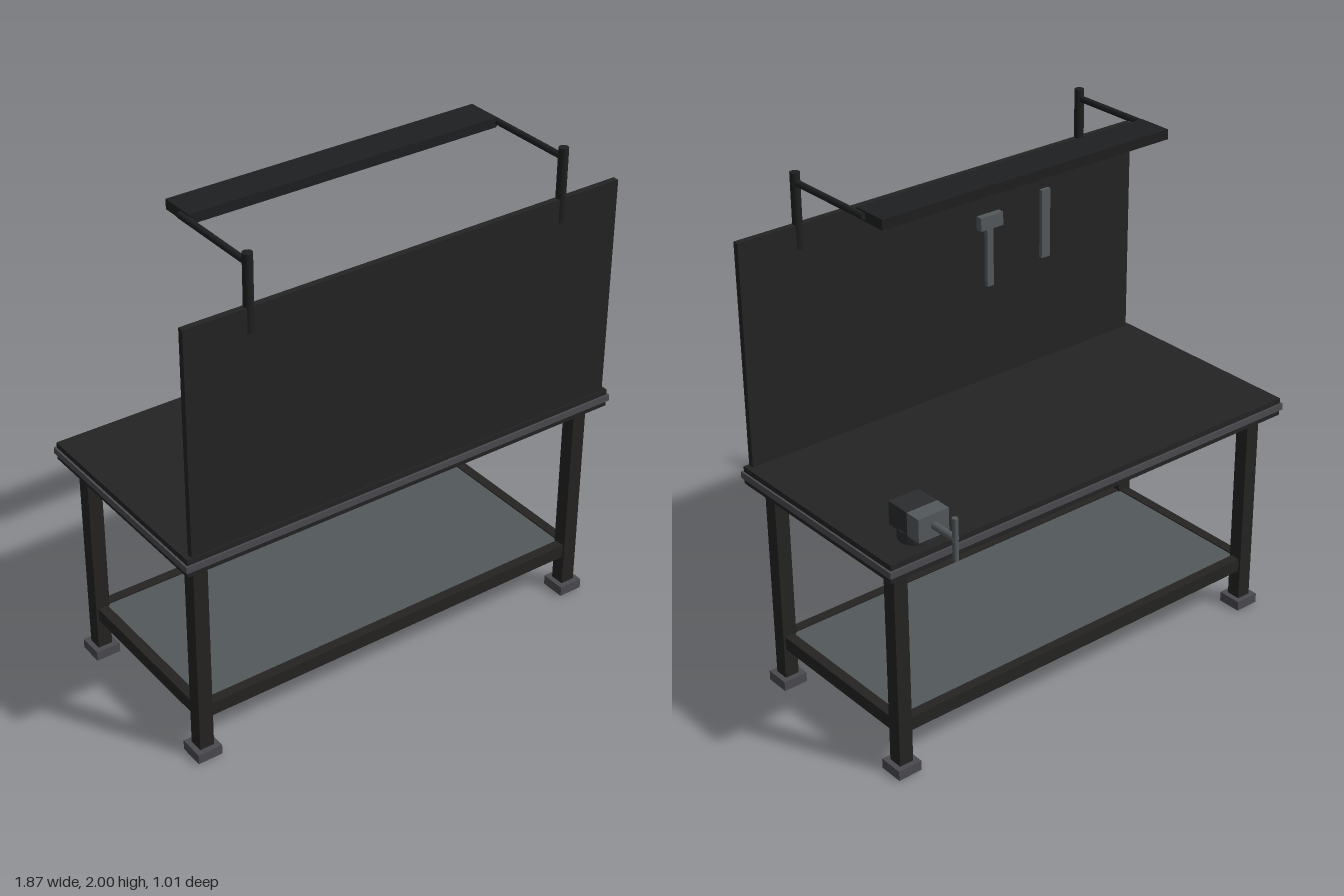
import * as THREE from 'three';

export function createModel() {
  const model = new THREE.Group();
  model.name = 'workbench';

  const mat = (name, color) => {
    const m = new THREE.MeshStandardMaterial({ color });
    m.name = name;
    return m;
  };
  const frame = mat('frame black', 0x242322);
  const top = mat('worktop black', 0x232323);
  const lampBlack = mat('lamp black', 0x1e1f20);
  const trimGrey = mat('trim grey', 0x4a4a4f);
  const steel = mat('steel grey', 0x53585b);
  const viseDark = mat('vise dark', 0x2a2c2d);

  const add = (name, geo, material, parent, x, y, z) => {
    const mesh = new THREE.Mesh(geo, material);
    mesh.name = name;
    mesh.position.set(x, y, z);
    parent.add(mesh);
    return mesh;
  };
  // Box given by its lower and upper limits on each axis
  const box = (name, material, parent, [x0, x1], [y0, y1], [z0, z1]) =>
    add(name, new THREE.BoxGeometry(x1 - x0, y1 - y0, z1 - z0), material, parent,
      (x0 + x1) / 2, (y0 + y1) / 2, (z0 + z1) / 2);
  // Rod between two points
  const rod = (name, material, parent, a, b, r, sides = 16) => {
    const p = new THREE.Vector3(...a), q = new THREE.Vector3(...b);
    const mid = p.clone().add(q).multiplyScalar(0.5);
    const mesh = add(name, new THREE.CylinderGeometry(r, r, p.distanceTo(q), sides), material, parent, mid.x, mid.y, mid.z);
    mesh.quaternion.setFromUnitVectors(new THREE.Vector3(0, 1, 0), q.sub(p).normalize());
    return mesh;
  };
  const group = (name) => {
    const g = new THREE.Group();
    g.name = name;
    model.add(g);
    return g;
  };

  // Legs with square feet, and the rails joining them
  const base = group('base');
  const legX = 0.847, legZ = [0.417, -0.296];
  for (const x of [-legX, legX]) {
    for (const z of legZ) {
      box('leg', frame, base, [x - 0.029, x + 0.029], [0, 0.865], [z - 0.029, z + 0.029]);
      box('foot', trimGrey, base, [x - 0.05, x + 0.05], [0.002, 0.042], [z - 0.05, z + 0.05]);
    }
    box('sideRail', frame, base, [x - 0.02, x + 0.02], [0.167, 0.222], [legZ[1], legZ[0]]);
  }
  for (const z of legZ) {
    box('longRail', frame, base, [-legX, legX], [0.167, 0.222], [z - 0.02, z + 0.02]);
  }
  box('lowerShelf', steel, base, [-0.83, 0.83], [0.195, 0.217], [-0.28, 0.4]);

  // Worktop with a trim band around its edge
  const worktop = group('worktop');
  box('tabletop', top, worktop, [-0.928, 0.928], [0.861, 0.932], [-0.382, 0.497]);
  box('edgeTrim', trimGrey, worktop, [-0.936, 0.936], [0.884, 0.91], [-0.39, 0.505]);

  // Upright panel
  box('backPanel', top, model, [-0.907, 0.907], [0.93, 1.808], [0.468, 0.492]);

  // Overhead lamp on two posts and arms
  const lamp = group('lamp');
  for (const x of [-0.651, 0.651]) {
    rod('lampPost', lampBlack, lamp, [x, 1.715, 0.4795], [x, 2, 0.4795], 0.0185);
    rod('lampArm', lampBlack, lamp, [x, 1.963, 0.4795], [x, 1.963, 0.08], 0.0125);
  }
  box('lampHousing', lampBlack, lamp, [-0.646, 0.646], [1.943, 1.981], [-0.014, 0.127]);
  rod('lampTube', viseDark, lamp, [-0.6, 1.945, 0.06], [0.6, 1.945, 0.06], 0.016);

  // Bench vise
  const vise = group('vise');
  add('viseBase', new THREE.CylinderGeometry(0.07, 0.07, 0.045, 20), viseDark, vise, 0.742, 0.9525, -0.285);
  box('viseBody', viseDark, vise, [0.677, 0.807], [0.97, 1.062], [-0.317, -0.215]);
  box('viseJaw', steel, vise, [0.677, 0.807], [0.97, 1.062], [-0.381, -0.317]);
  rod('viseScrew', steel, vise, [0.74, 1.016, -0.37], [0.74, 1.016, -0.498], 0.014);
  rod('viseHandle', steel, vise, [0.74, 0.933, -0.494], [0.74, 1.097, -0.494], 0.011);

  // Tools hung on the panel
  const tools = group('tools');
  box('hammerHandle', steel, tools, [-0.203, -0.173], [1.33, 1.6], [0.45, 0.469]);
  box('hammerHead', steel, tools, [-0.241, -0.135], [1.57, 1.624], [0.438, 0.465]);
  box('wrench', steel, tools, [-0.486, -0.444], [1.37, 1.65], [0.453, 0.469]);

  return model;
}
